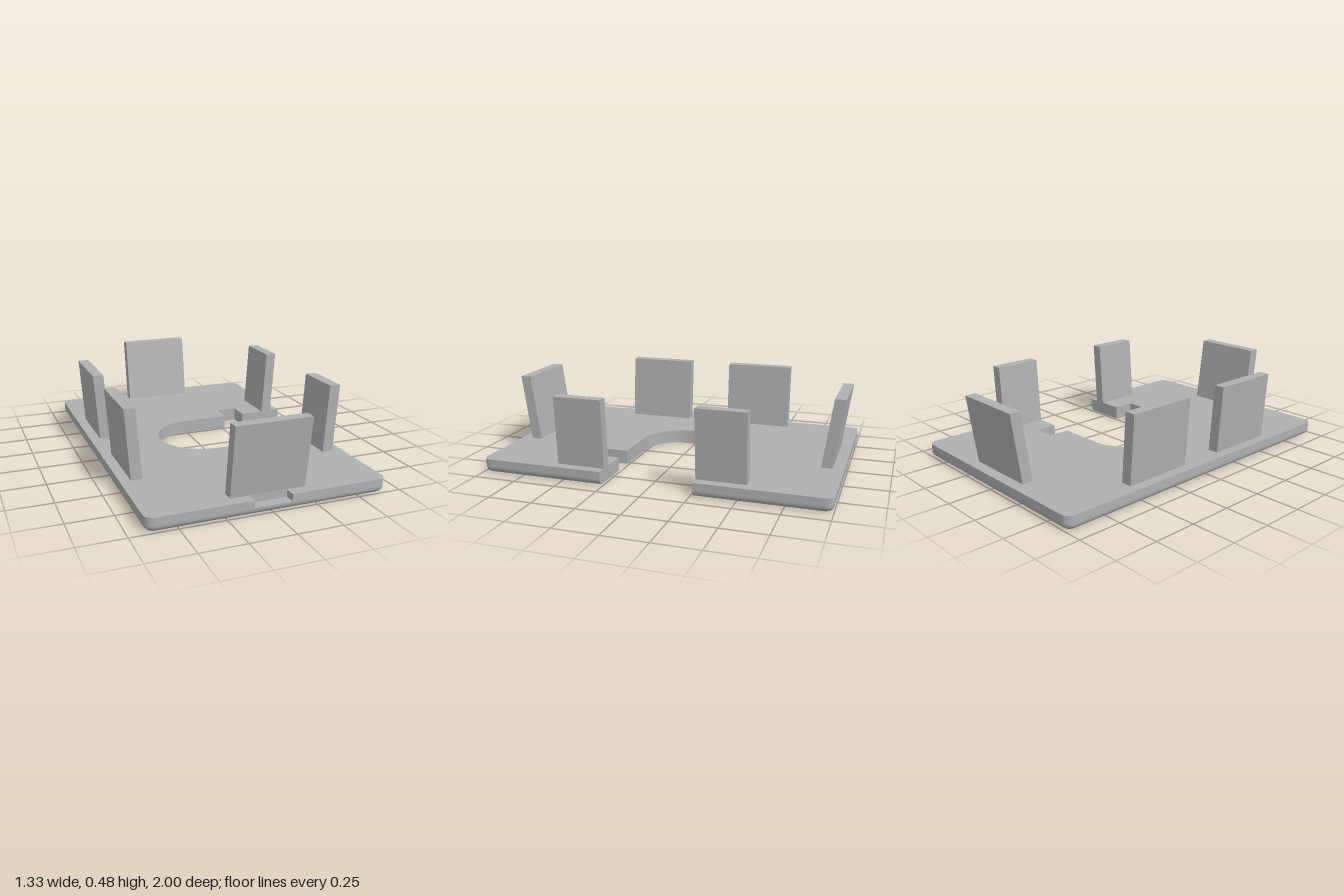
import * as THREE from 'three';
import { toCreasedNormals, mergeGeometries } from 'three/addons/utils/BufferGeometryUtils.js';

const W = 0.665, L = 1, T = 0.08, MID = 0.04; // half width, half length, thickness, notch floor
const CORNER = 0.05, FILLET = 0.035, SLOT = 0.265;
const NOTCH_X = 0.105, NOTCH_Z = 0.94;

// Plate outline, counter-clockwise, in (x, -z); the inset shrinks only the outer border
function outline(inset, notched) {
  const pts = [];
  const add = (x, y) => pts.push(new THREE.Vector2(x, y));
  const arc = (cx, cy, r, from, to, n) => {
    for (let i = 0; i <= n; i++) {
      const a = (from + (to - from) * i / n) * Math.PI / 180;
      add(cx + r * Math.cos(a), cy + r * Math.sin(a));
    }
  };
  const cx = W - CORNER, cy = L - CORNER, r = CORNER - inset;
  add(W - inset, SLOT);
  arc(cx, cy, r, 0, 90, 8);
  arc(-cx, cy, r, 90, 180, 8);
  arc(-cx, -cy, r, 180, 270, 8);
  if (notched) {
    add(-NOTCH_X, -L); add(-NOTCH_X, -NOTCH_Z);
    add(NOTCH_X, -NOTCH_Z); add(NOTCH_X, -L);
  }
  arc(cx, -cy, r, 270, 360, 8);
  add(W - inset, -SLOT);
  // Slot with square side notches and a round end
  const side = [[0.4, SLOT], [0.4, 0.395], [0.27, 0.395], [0.27, SLOT]];
  side.forEach(([x, y]) => add(x, -y));
  arc(0, 0, SLOT, 270, 90, 32);
  side.reverse().forEach(([x, y]) => add(x, y));
  return pts;
}

// Walls between successive outlines
function walls(rings) {
  const pos = [];
  for (let k = 0; k + 1 < rings.length; k++) {
    const lo = rings[k], hi = rings[k + 1], n = lo.pts.length;
    for (let i = 0; i < n; i++) {
      const j = (i + 1) % n;
      const v = (ring, m) => [ring.pts[m].x, ring.y, -ring.pts[m].y];
      const a = v(lo, i), b = v(lo, j), c = v(hi, j), d = v(hi, i);
      pos.push(...a, ...b, ...c, ...a, ...c, ...d);
    }
  }
  const g = new THREE.BufferGeometry();
  g.setAttribute('position', new THREE.Float32BufferAttribute(pos, 3));
  return toCreasedNormals(g, 0.6);
}

// Flat face at height y, facing up or down
function cap(pts, y, up) {
  const g = new THREE.ShapeGeometry(new THREE.Shape(pts)).toNonIndexed();
  g.deleteAttribute('uv');
  g.rotateX(-Math.PI / 2);
  if (!up) g.scale(1, -1, 1);
  if (!up) {
    const p = g.attributes.position;
    for (let i = 0; i < p.count; i += 3) {
      const x = p.getX(i), z = p.getZ(i);
      p.setXYZ(i, p.getX(i + 1), p.getY(i + 1), p.getZ(i + 1));
      p.setXYZ(i + 1, x, 0, z);
    }
  }
  g.translate(0, y, 0);
  g.computeVertexNormals();
  return g;
}

function plateGeometry() {
  const lower = [];
  for (let i = 0; i <= 6; i++) {
    const a = i / 6 * Math.PI / 2;
    lower.push({ pts: outline(FILLET * (1 - Math.sin(a)), false), y: FILLET * (1 - Math.cos(a)) });
  }
  lower.push({ pts: outline(0, false), y: MID });
  const top = outline(0, true);
  const floor = [[-NOTCH_X, -L], [NOTCH_X, -L], [NOTCH_X, -NOTCH_Z], [-NOTCH_X, -NOTCH_Z]]
    .map(([x, y]) => new THREE.Vector2(x, y));
  return mergeGeometries([
    walls(lower),
    walls([{ pts: top, y: MID }, { pts: top, y: T }]),
    cap(top, T, true),
    cap(floor, MID, true),
    cap(lower[0].pts, 0, false),
  ]);
}

// Upright tab on the plate whose top leans by (leanX, leanZ)
function tabGeometry(w, d, leanX, leanZ) {
  const h = 0.395;
  const g = new THREE.BoxGeometry(w, h, d).translate(0, h / 2, 0);
  const p = g.attributes.position;
  for (let i = 0; i < p.count; i++) {
    const t = p.getY(i) / h;
    p.setX(i, p.getX(i) + leanX * t);
    p.setZ(i, p.getZ(i) + leanZ * t);
  }
  g.computeVertexNormals();
  return g;
}

export function createModel() {
  const group = new THREE.Group();
  const grey = new THREE.MeshStandardMaterial({ color: 0xb0b0b0 });
  grey.name = 'grey';
  const add = (name, geometry, x = 0, y = 0, z = 0) => {
    const m = new THREE.Mesh(geometry, grey);
    m.name = name;
    m.position.set(x, y, z);
    group.add(m);
  };

  add('basePlate', plateGeometry());
  for (const s of [1, -1]) {
    const end = s > 0 ? 'front' : 'back';
    add(end + 'Tab', tabGeometry(0.42, 0.063, 0, s * 0.055), 0, T, s * 0.904);
    // Wide tabs on the closed side, narrow ones beside the slot opening
    add(end + 'RightTab', tabGeometry(0.063, 0.41, -0.027, 0), -0.574, T, s * 0.34);
    add(end + 'LeftTab', tabGeometry(0.063, 0.28, 0.027, 0), 0.574, T, s * 0.405);
  }
  return group;
}
